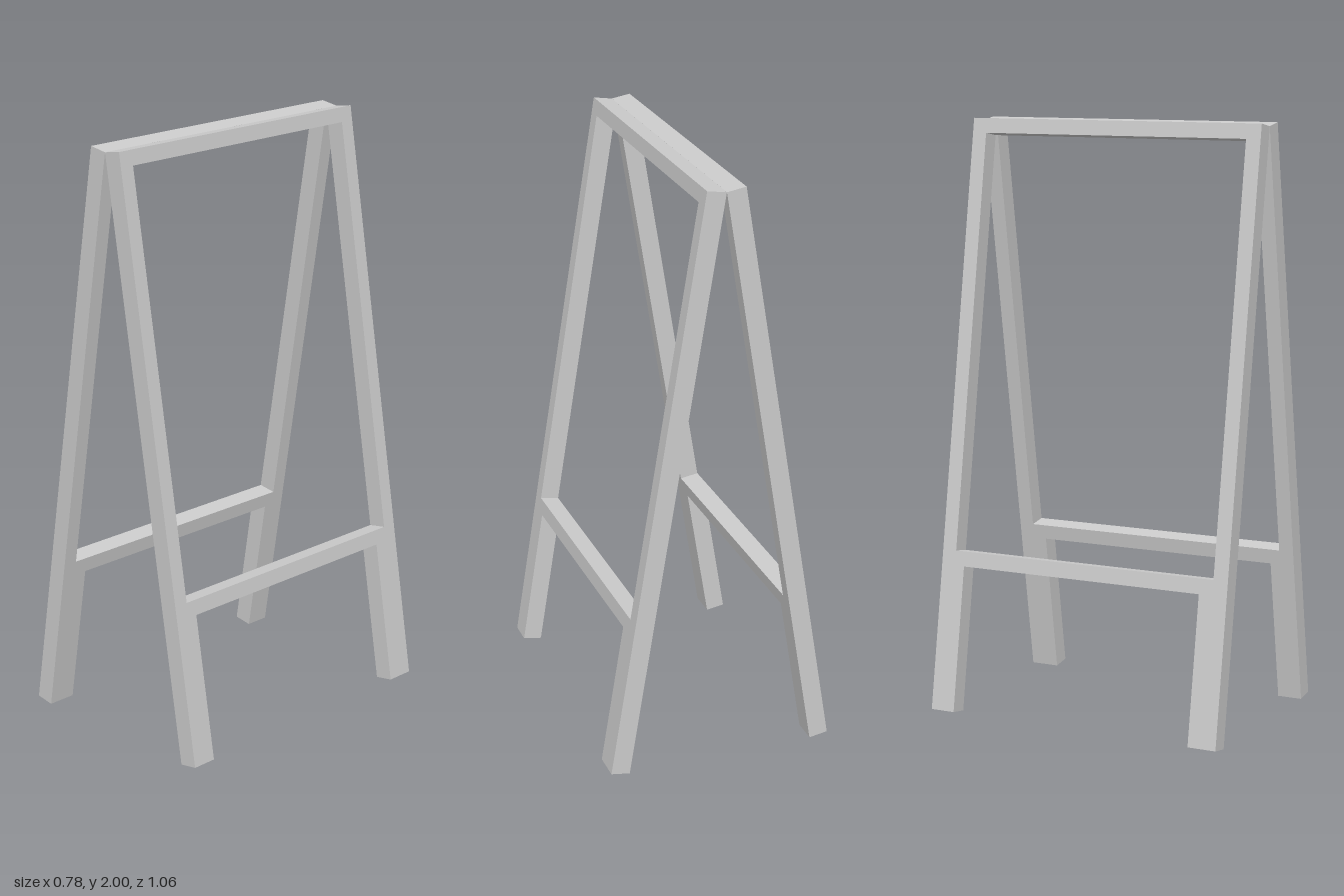
import * as THREE from 'three';

const LENGTH = 2.015;     // along the slanted leg
const THICKNESS = 0.065;
const HALF = 0.531;       // half the frame width

// One flat frame: legs, lower rail and top rail in a single board with a window
function frameGeometry() {
  const outline = new THREE.Shape([
    [-HALF, 0], [-0.432, 0], [-0.432, 0.496], [0.445, 0.496],
    [0.445, 0], [HALF, 0], [HALF, LENGTH], [-HALF, LENGTH],
  ].map(([z, s]) => new THREE.Vector2(z, s)));
  outline.holes.push(new THREE.Path([
    [-0.48, 0.547], [-0.48, 1.965], [0.48, 1.965], [0.48, 0.547],
  ].map(([z, s]) => new THREE.Vector2(z, s))));
  const geometry = new THREE.ExtrudeGeometry(outline, { depth: THICKNESS, bevelEnabled: false });

  // Lean the board: width along z, height up the slope, depth inward
  const across = new THREE.Vector3(0, 0, 1);
  const up = new THREE.Vector3(-0.325, 1.99, 0).normalize();
  const inward = new THREE.Vector3().crossVectors(across, up);
  const lean = new THREE.Matrix4().makeBasis(across, up, inward).setPosition(0.389, 0.0105, 0);
  return geometry.applyMatrix4(lean);
}

export function createModel() {
  const group = new THREE.Group();
  group.name = 'trestleStand';
  const material = new THREE.MeshStandardMaterial({ color: 0xcccccc, flatShading: true });
  const geometry = frameGeometry();

  // Two equal frames meeting at the top, the second turned half round
  ['leftFrame', 'rightFrame'].forEach((name, i) => {
    const frame = new THREE.Mesh(geometry, material);
    frame.name = name;
    frame.rotation.y = i * Math.PI;
    group.add(frame);
  });
  return group;
}
